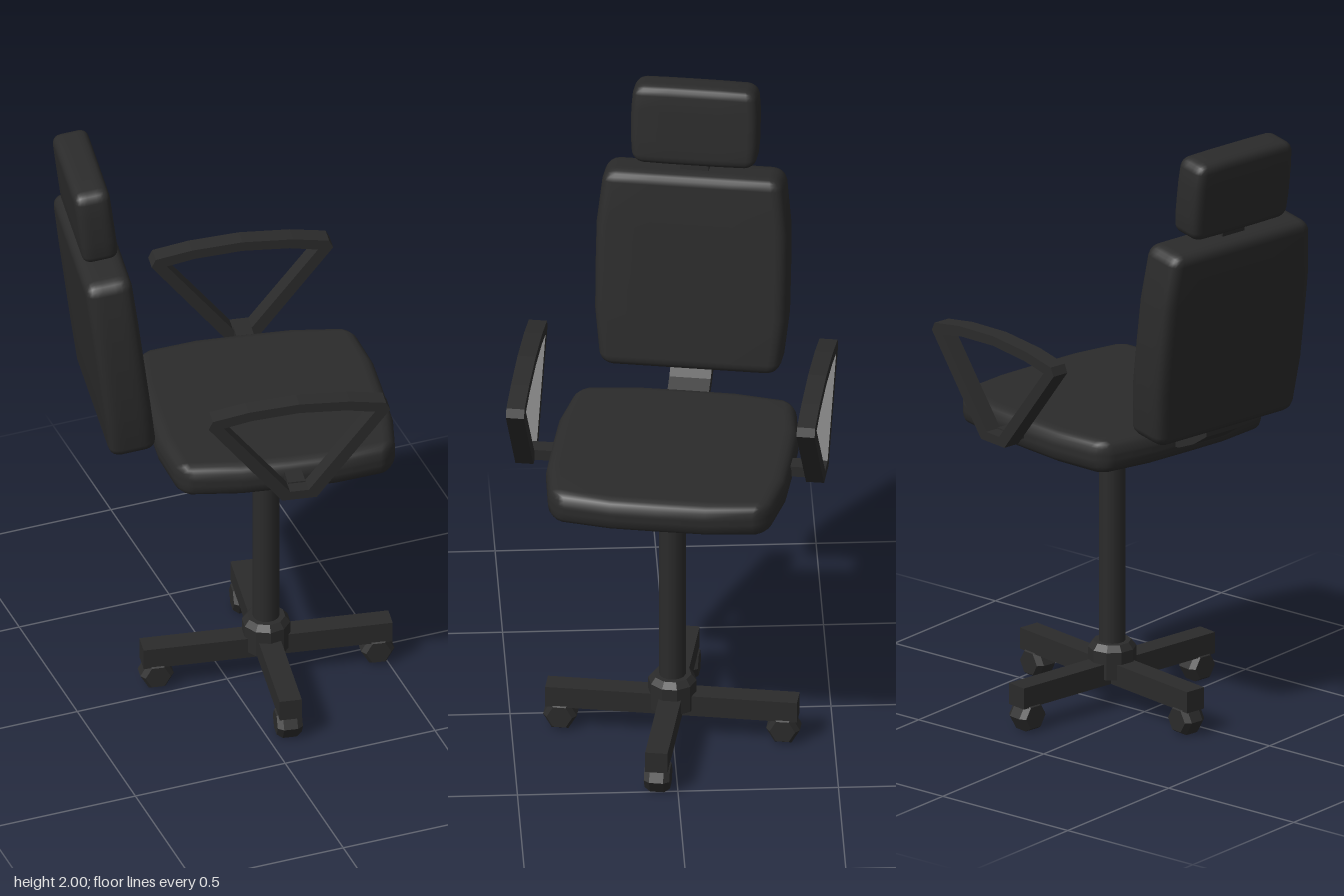
import * as THREE from 'three';
import { mergeVertices } from 'three/addons/utils/BufferGeometryUtils.js';

const black = new THREE.MeshStandardMaterial({ color: 0x2b2b2b });
black.name = 'charcoal black';

function add(parent, name, geometry, x = 0, y = 0, z = 0) {
  const mesh = new THREE.Mesh(geometry, black);
  mesh.name = name;
  mesh.position.set(x, y, z);
  parent.add(mesh);
  return mesh;
}

// Padded box with rounded edges; the sides along axes a and b bow outwards.
function cushion(size, r, a, b, bulgeA, bulgeB) {
  let geo = new THREE.BoxGeometry(2, 2, 2, 8, 8, 8);
  geo.deleteAttribute('uv');
  geo.deleteAttribute('normal');
  const pos = geo.attributes.position;
  const p = new THREE.Vector3();
  const half = new THREE.Vector3(...size).multiplyScalar(0.5);
  const inner = half.clone().subScalar(r);
  for (let i = 0; i < pos.count; i++) {
    p.fromBufferAttribute(pos, i);
    // gather the outer grid lines in the rounded rim
    for (const k of ['x', 'y', 'z']) {
      const t = Math.abs(p[k]);
      const d = t <= 0.5 ? t * 2 * inner[k] : inner[k] + (t - 0.5) * 2 * r;
      p[k] = Math.sign(p[k]) * d;
    }
    const core = p.clone().clamp(inner.clone().negate(), inner);
    p.sub(core).setLength(r).add(core);
    const u = p[a] / half[a], v = p[b] / half[b];
    p[a] += bulgeA * u * (1 - v ** 4);
    p[b] += bulgeB * v * (1 - u ** 4);
    pos.setXYZ(i, p.x, p.y, p.z);
  }
  geo = mergeVertices(geo);
  geo.computeVertexNormals();
  return geo;
}

const toPoints = (list) => list.map(([x, y]) => new THREE.Vector2(x, y));

// Flat profile in the x-y plane, given a width centred on z = 0
function plate(outline, width, hole) {
  const shape = new THREE.Shape(toPoints(outline));
  if (hole) shape.holes.push(new THREE.Path(toPoints(hole)));
  return new THREE.ExtrudeGeometry(shape, { depth: width, bevelEnabled: false }).translate(0, 0, -width / 2);
}

export function createModel() {
  const model = new THREE.Group();
  model.name = 'officeChair';
  const chair = new THREE.Group();
  chair.name = 'chair';
  chair.position.x = 0.13;
  chair.rotation.y = -0.174;
  model.add(chair);

  // Four-armed base with a caster under each end
  const wheel = new THREE.LatheGeometry(toPoints([
    [0, -0.04], [0.04, -0.04], [0.053, -0.022], [0.053, 0.022], [0.04, 0.04], [0, 0.04],
  ]), 6).rotateY(Math.PI / 6).rotateX(Math.PI / 2).toNonIndexed();
  // keep a flat side of the wheel on the floor
  wheel.rotateZ(Math.PI / 6);
  wheel.computeBoundingBox();
  if (wheel.boundingBox.max.y > 0.05) wheel.rotateZ(Math.PI / 6);
  wheel.computeVertexNormals();
  for (let i = 0; i < 4; i++) {
    const leg = new THREE.Group();
    leg.name = 'baseLeg';
    leg.rotation.y = i * Math.PI / 2;
    add(leg, 'baseArm', new THREE.BoxGeometry(0.395, 0.07, 0.07), 0.1975, 0.115, 0);
    add(leg, 'caster', wheel, 0.35, 0.046, 0);
    chair.add(leg);
  }

  // Hub and post
  const hub = new THREE.LatheGeometry(toPoints([
    [0, 0.1], [0.076, 0.1], [0.076, 0.19], [0.06, 0.21], [0, 0.21],
  ]), 10).toNonIndexed();
  hub.computeVertexNormals();
  add(chair, 'hub', hub);
  add(chair, 'post', new THREE.CylinderGeometry(0.042, 0.042, 0.77, 14), 0, 0.565, 0);

  // Seat
  add(chair, 'seat', cushion([0.67, 0.11, 0.67], 0.04, 'x', 'z', 0.04, 0.044), 0, 0.975, 0);

  // Bent bracket joining seat and backrest
  add(chair, 'backBracket', plate([
    [-0.28, 0.955], [-0.39, 0.965], [-0.46, 0.995], [-0.52, 1.035], [-0.53, 1.15],
    [-0.48, 1.15], [-0.475, 1.06], [-0.43, 1.025], [-0.38, 1.0], [-0.28, 0.99],
  ], 0.13));

  // Reclined backrest, neck and headrest share one tilt
  const back = new THREE.Group();
  back.name = 'back';
  back.position.set(-0.513, 1.383, 0);
  back.rotation.z = 0.126;
  chair.add(back);
  add(back, 'backrest', cushion([0.15, 0.66, 0.55], 0.036, 'y', 'z', 0, 0.027));
  add(back, 'neck', new THREE.BoxGeometry(0.04, 0.14, 0.09), 0, 0.35, 0);
  add(back, 'headrest', cushion([0.115, 0.26, 0.376], 0.03, 'y', 'z', 0.003, 0.012), 0, 0.485, 0);

  // Triangular armrest loops on short supports
  const loop = plate([
    [-0.045, 0.97], [0.065, 0.97], [0.298, 1.268], [0.285, 1.295], [0.17, 1.315],
    [0.01, 1.325], [-0.15, 1.315], [-0.265, 1.295], [-0.278, 1.268],
  ], 0.057, [
    [-0.02, 1.0], [0.04, 1.0], [0.25, 1.266], [0.16, 1.283],
    [0.01, 1.293], [-0.14, 1.283], [-0.23, 1.266],
  ]);
  for (const side of [-1, 1]) {
    add(chair, 'armrest', loop, 0, 0, side * 0.456);
    add(chair, 'armSupport', new THREE.BoxGeometry(0.055, 0.035, 0.1), 0.01, 0.987, side * 0.39);
  }
  return model;
}
